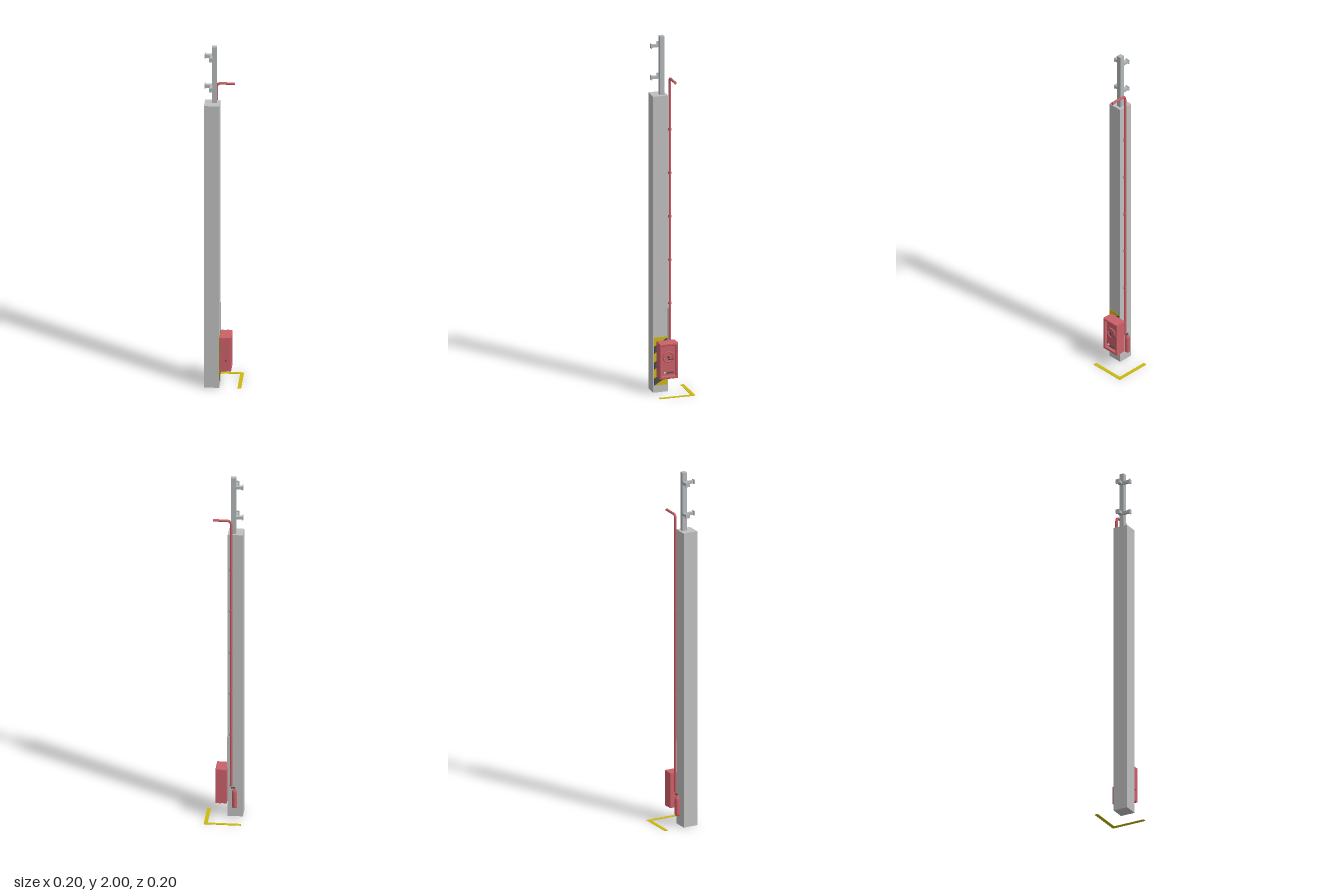
import * as THREE from 'three';
import { RoundedBoxGeometry } from 'three/addons/geometries/RoundedBoxGeometry.js';

const paint = (name, color) => {
  const m = new THREE.MeshStandardMaterial({ color });
  m.name = name;
  return m;
};

export function createModel() {
  const grey = paint('concrete grey', 0xbfbfbf);
  const steel = paint('steel grey', 0xb4b8ba);
  const red = paint('fire red', 0xcb6068);
  const yellow = paint('marking yellow', 0xcbb90c);
  const dark = paint('dark grey', 0x4c4c4c);
  const model = new THREE.Group();
  model.name = 'pillarWithFireEquipment';

  const add = (name, geometry, material, x = 0, y = 0, z = 0) => {
    const mesh = new THREE.Mesh(geometry, material);
    mesh.name = name;
    mesh.position.set(x, y, z);
    model.add(mesh);
    return mesh;
  };
  // box given by its limits on each axis
  const block = (name, material, [x0, x1], [y0, y1], [z0, z1]) =>
    add(name, new THREE.BoxGeometry(x1 - x0, y1 - y0, z1 - z0), material,
      (x0 + x1) / 2, (y0 + y1) / 2, (z0 + z1) / 2);
  const rod = (name, material, r, h, x, y, z, axis = 'y') => {
    const mesh = add(name, new THREE.CylinderGeometry(r, r, h, 16), material, x, y, z);
    if (axis === 'x') mesh.rotation.z = Math.PI / 2;
    if (axis === 'z') mesh.rotation.x = Math.PI / 2;
    return mesh;
  };

  // pillar
  block('pillar', grey, [-0.1, -0.018], [0, 1.67], [0.017, 0.1]);
  block('cornerConduit', grey, [-0.023, -0.015], [0.29, 0.47], [0.014, 0.021]);

  // mast with two two-armed brackets
  block('mast', steel, [-0.061, -0.034], [1.67, 2], [0.032, 0.057]);
  for (const y of [1.764, 1.942]) {
    block('sideArm', steel, [-0.1, -0.055], [y - 0.008, y + 0.008], [0.032, 0.052]);
    block('frontArm', steel, [-0.07, -0.056], [y - 0.008, y + 0.008], [0.05, 0.1]);
    block('sideArmPlate', steel, [-0.1, -0.094], [y - 0.012, y + 0.012], [0.03, 0.054]);
    block('frontArmPlate', steel, [-0.073, -0.053], [y - 0.012, y + 0.012], [0.094, 0.1]);
  }

  // floor marking
  block('floorMarkBack', yellow, [-0.1, 0.1], [0, 0.002], [-0.1, -0.08]);
  block('floorMarkSide', yellow, [0.08, 0.1], [0, 0.002], [-0.08, 0.1]);

  // hazard panel on the pillar, with slanted dark stripes
  block('hazardPanel', yellow, [-0.018, -0.0165], [0.04, 0.31], [0.02, 0.095]);
  for (const y of [0.04, 0.13, 0.22]) {
    const s = new THREE.Shape([
      new THREE.Vector2(-0.095, y), new THREE.Vector2(-0.02, y + 0.045),
      new THREE.Vector2(-0.02, y + 0.085), new THREE.Vector2(-0.095, y + 0.04),
    ]);
    const stripe = add('hazardStripe', new THREE.ExtrudeGeometry(s, { depth: 0.001, bevelEnabled: false }),
      dark, -0.0165);
    stripe.rotation.y = Math.PI / 2;
  }

  // riser pipe with a bent top and couplings
  const path = new THREE.CurvePath();
  const v = (x, y) => new THREE.Vector3(x, y, 0);
  path.add(new THREE.LineCurve3(v(-0.038, 0.19), v(-0.038, 1.74)));
  path.add(new THREE.QuadraticBezierCurve3(v(-0.038, 1.74), v(-0.038, 1.761), v(-0.017, 1.761)));
  path.add(new THREE.LineCurve3(v(-0.017, 1.761), v(0.056, 1.761)));
  add('riserPipe', new THREE.TubeGeometry(path, 400, 0.0068, 12), red);
  rod('pipeEnd', red, 0.0075, 0.006, 0.056, 1.761, 0, 'x');
  rod('pipeFoot', red, 0.0075, 0.008, -0.038, 0.19, 0);
  for (const y of [0.49, 0.735, 0.98, 1.225, 1.47]) rod('pipeCoupling', red, 0.0085, 0.012, -0.038, y, 0);

  // extinguisher behind the pillar
  const bottle = [[0, 0.06], [0.012, 0.06], [0.014, 0.064], [0.014, 0.15], [0.011, 0.161], [0.004, 0.166], [0.004, 0.176], [0, 0.176]]
    .map(([x, y]) => new THREE.Vector2(x, y));
  add('extinguisher', new THREE.LatheGeometry(bottle, 20), red, -0.057, 0, 0.001);
  block('extinguisherHandle', dark, [-0.06, -0.038], [0.174, 0.179], [-0.003, 0.005]);

  // hose cabinet, open towards +x
  const outline = new THREE.Shape([[-0.083, 0.09], [0.02, 0.09], [0.02, 0.29], [-0.083, 0.29]]
    .map(([x, y]) => new THREE.Vector2(x, y)));
  outline.holes.push(new THREE.Path([[-0.07, 0.106], [-0.07, 0.276], [0.007, 0.276], [0.007, 0.106]]
    .map(([x, y]) => new THREE.Vector2(x, y))));
  const rim = add('cabinetFrame', new THREE.ExtrudeGeometry(outline, { depth: 0.028, bevelEnabled: true, bevelSize: 0.003, bevelThickness: 0.003, bevelOffset: -0.003, bevelSegments: 1 }), red, 0.014);
  rim.rotation.y = Math.PI / 2;
  add('cabinetBody', new RoundedBoxGeometry(0.046, 0.2, 0.103, 2, 0.003), red, 0.006, 0.19, 0.0315);

  // hose reel, nozzle and valve in the cabinet
  const reel = add('hoseReel', new THREE.TorusGeometry(0.028, 0.0045, 8, 28), red, 0.034, 0.21, 0.0315);
  reel.rotation.y = Math.PI / 2;
  rod('reelDisc', red, 0.026, 0.004, 0.032, 0.21, 0.0315, 'x');
  rod('reelHub', dark, 0.006, 0.01, 0.036, 0.21, 0.0315, 'x');
  block('reelCrank', dark, [0.036, 0.04], [0.196, 0.2], [0.002, 0.034]);
  rod('nozzle', dark, 0.004, 0.05, 0.035, 0.123, 0.03, 'z');
  rod('nozzleTip', steel, 0.006, 0.012, 0.035, 0.123, 0.052, 'z');

  // small latch on the cabinet front
  rod('latch', dark, 0.004, 0.004, 0.016, 0.155, 0.083, 'z');
  return model;
}
